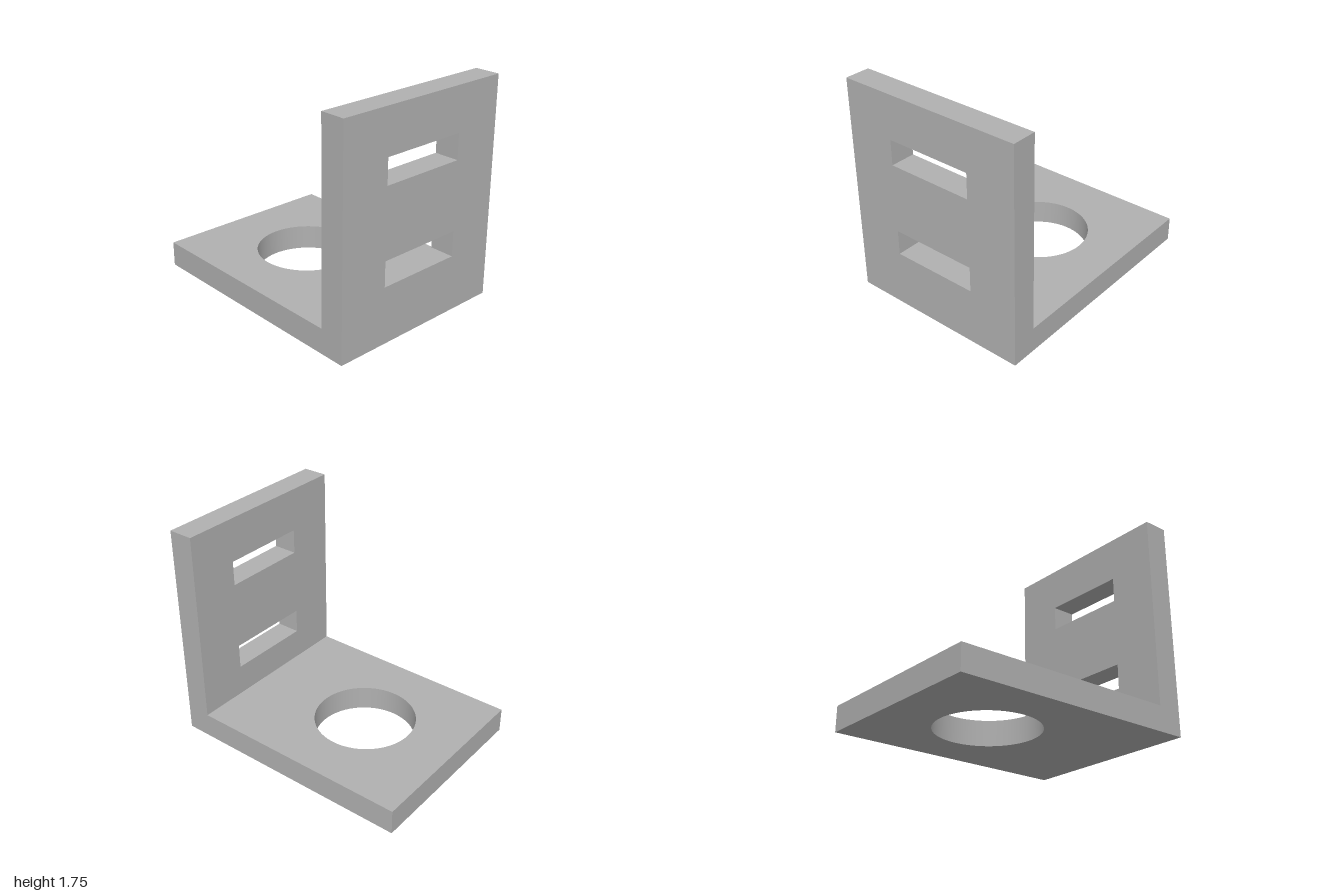
import * as THREE from 'three';

// Rectangle outline from its edges
function rect(Type, x0, y0, x1, y1) {
  const r = new Type();
  r.moveTo(x0, y0);
  r.lineTo(x1, y0);
  r.lineTo(x1, y1);
  r.lineTo(x0, y1);
  r.closePath();
  return r;
}

export function createModel() {
  const W = 0.75, T = 0.2;
  const grey = new THREE.MeshStandardMaterial({ color: 0xb0b0b0 });
  grey.name = 'plain grey';
  const group = new THREE.Group();
  group.name = 'angleBracket';

  const addPlate = (name, shape) => {
    const geometry = new THREE.ExtrudeGeometry(shape, {
      depth: T, bevelEnabled: false, curveSegments: 64,
    });
    const mesh = new THREE.Mesh(geometry, grey);
    mesh.name = name;
    group.add(mesh);
    return mesh;
  };

  // Upright front plate with two horizontal slots
  const wall = rect(THREE.Shape, -W, 0, W, 1.75);
  for (const y of [0.45, 1.2]) {
    wall.holes.push(rect(THREE.Path, -0.35, y, 0.35, y + 0.2));
  }
  addPlate('uprightPlate', wall).position.z = 0.8;

  // Base plate with a round hole, laid flat behind the upright
  const base = rect(THREE.Shape, -W, -0.8, W, 1);
  base.holes.push(new THREE.Path().absarc(0, 0.2, 0.4, 0, Math.PI * 2, true));
  const basePlate = addPlate('basePlate', base);
  basePlate.geometry.rotateX(-Math.PI / 2);

  // Smooth the bore: side normals point towards the hole's axis
  const p = basePlate.geometry.attributes.position;
  const n = basePlate.geometry.attributes.normal;
  for (let i = 0; i < p.count; i++) {
    const dx = p.getX(i), dz = p.getZ(i) + 0.2;
    const d = Math.hypot(dx, dz);
    if (d < 0.41 && Math.abs(n.getY(i)) < 0.5) n.setXYZ(i, -dx / d, 0, -dz / d);
  }

  return group;
}
